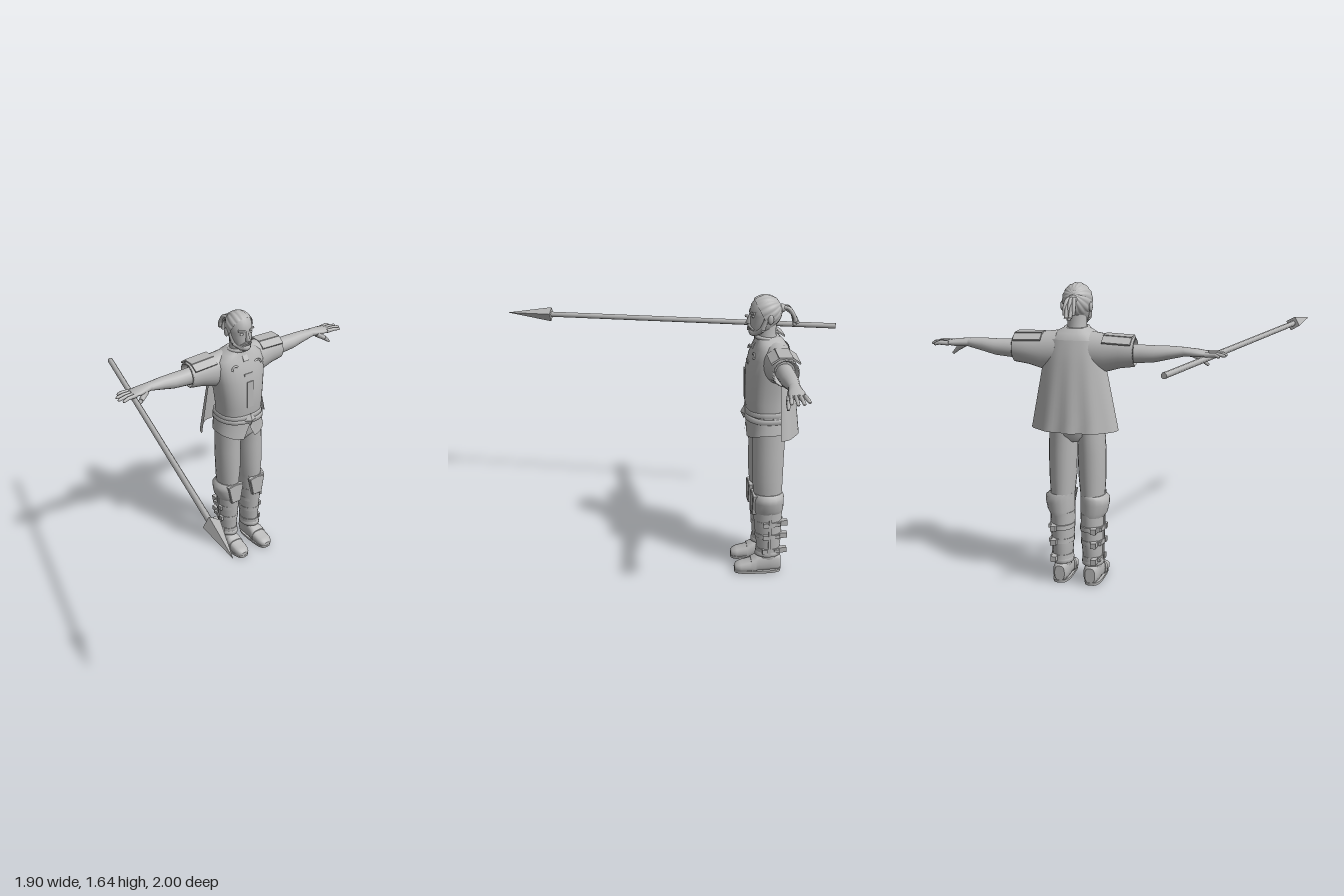
import * as THREE from 'three';
import { mergeVertices, mergeGeometries } from 'three/addons/utils/BufferGeometryUtils.js';

const V = (x, y, z) => new THREE.Vector3(x, y, z);

// Skin over oval rings [t, a, b, ra, rb]; (t,a,b) is (y,z,x), (x,y,z) or (z,x,y). pow < 1 squares the ovals.
function loft(axis, rings, n = 20, pow = 1, caps = true) {
  const pos = [], idx = [];
  const put = (t, a, b) => pos.push(...(axis === 'y' ? [b, t, a] : axis === 'x' ? [t, a, b] : [a, b, t]));
  const sp = v => Math.sign(v) * Math.abs(v) ** pow;
  const ring = ([t, a, b, ra, rb]) => {
    for (let j = 0; j < n; j++) {
      const f = j / n * Math.PI * 2;
      put(t, a + ra * sp(Math.cos(f)), b + rb * sp(Math.sin(f)));
    }
  };
  rings.forEach(ring);
  for (let i = 0; i < rings.length - 1; i++) for (let j = 0; j < n; j++) {
    const a = i * n + j, b = i * n + (j + 1) % n;
    idx.push(a, b, b + n, a, b + n, a + n);
  }
  if (caps) [rings[0], rings[rings.length - 1]].forEach((r, k) => {
    const s = pos.length / 3;
    ring(r);
    put(r[0], r[1], r[2]);
    for (let j = 0; j < n; j++) {
      const a = s + j, b = s + (j + 1) % n;
      idx.push(s + n, k ? a : b, k ? b : a);
    }
  });
  const g = new THREE.BufferGeometry();
  g.setAttribute('position', new THREE.Float32BufferAttribute(pos, 3));
  g.setIndex(idx);
  g.computeVertexNormals();
  return g;
}

// Tapered round bar from p to q
function rod(p, q, r1, r2, n = 8) {
  const d = q.clone().sub(p);
  const g = new THREE.CylinderGeometry(r2, r1, d.length(), n);
  g.applyQuaternion(new THREE.Quaternion().setFromUnitVectors(V(0, 1, 0), d.normalize()));
  return g.translate(...p.clone().add(q).multiplyScalar(0.5).toArray());
}

const box = (w, h, d, x, y, z, rx = 0, ry = 0, rz = 0) =>
  new THREE.BoxGeometry(w, h, d).rotateX(rx).rotateY(ry).rotateZ(rz).translate(x, y, z);
const ball = (rx, ry, rz, x, y, z, n = 14) =>
  new THREE.SphereGeometry(1, n, 10).scale(rx, ry, rz).translate(x, y, z);

// Copy reflected in x, with its faces turned back outward
function mirrored(g) {
  const m = (g.index ? g.clone() : mergeVertices(g)).scale(-1, 1, 1);
  const i = m.index.array;
  for (let k = 0; k < i.length; k += 3) [i[k], i[k + 1]] = [i[k + 1], i[k]];
  m.computeVertexNormals();
  return m;
}

export function createModel() {
  const grey = new THREE.MeshStandardMaterial({ color: 0xb8b8b8, side: THREE.DoubleSide });
  grey.name = 'plain grey';
  const model = new THREE.Group(), body = new THREE.Group();
  model.name = 'spearman';
  body.name = 'figure';
  body.position.set(0.145, 0, -0.52);
  model.add(body);
  const add = (name, g, parent = body) => {
    const m = new THREE.Mesh(g, grey);
    m.name = name;
    parent.add(m);
  };
  const pair = (name, g) => { add('left ' + name, g); add('right ' + name, mirrored(g)); };

  // Tunic
  add('tunic', loft('y', [
    [0.96, 0.02, 0, 0.118, 0.138], [1.05, 0.03, 0, 0.122, 0.142], [1.13, 0.028, 0, 0.125, 0.15],
    [1.22, 0.024, 0, 0.125, 0.162], [1.3, 0.018, 0, 0.113, 0.17], [1.355, 0.015, 0, 0.095, 0.155],
    [1.385, 0.02, 0, 0.078, 0.11], [1.41, 0.03, 0, 0.062, 0.062]], 32, 0.85));
  const skirt = loft('y', [[0.875, 0.02, 0, 0.122, 0.16], [0.92, 0.015, 0, 0.122, 0.152],
    [0.98, 0.02, 0, 0.12, 0.14]], 32, 0.85, false);
  const sp = skirt.attributes.position;
  for (let i = 0; i < 32; i++) // hem dips at the front, with a notch in the middle
    sp.setY(i, i === 0 ? 0.92 : 0.875 - 0.04 * Math.max(0, Math.cos(i / 16 * Math.PI)) ** 2);
  skirt.computeVertexNormals();
  add('tunic skirt', skirt);
  const ring = (y, r) => loft('y', [[y - 0.016, 0.02, 0, 0.12, 0.14], [y - 0.012, 0.02, 0, r - 0.018, r],
    [y + 0.012, 0.02, 0, r - 0.018, r], [y + 0.016, 0.02, 0, 0.12, 0.14]], 32, 0.85);
  add('belt', ring(0.985, 0.148));
  add('hanging belt', ring(0, 0.152).rotateZ(-0.06).translate(0, 0.957, 0));
  add('belt buckle', new THREE.OctahedronGeometry(1).scale(0.042, 0.042, 0.02).translate(0, 0.968, 0.152));
  add('collar', new THREE.TorusGeometry(0.06, 0.012, 8, 24).rotateX(Math.PI / 2 - 0.1).translate(0, 1.402, 0.035));
  add('tunic placket', box(0.035, 0.04, 0.012, 0, 1.36, 0.105, -0.6));
  add('tunic clasp', box(0.06, 0.016, 0.012, 0, 1.265, 0.137, -0.15));
  add('tunic seam', box(0.045, 0.17, 0.006, 0, 1.14, 0.153, 0.02));
  pair('chest trim', new THREE.TorusGeometry(0.024, 0.006, 6, 10, 2.4).rotateX(-0.2).translate(0.08, 1.308, 0.122));

  // Cape: half shell spreading toward the hem
  const cape = new THREE.CylinderGeometry(1, 1, 1, 32, 8, true, Math.PI / 2, Math.PI);
  const cp = cape.attributes.position;
  for (let i = 0; i < cp.count; i++) {
    const t = 0.5 - cp.getY(i), x = cp.getX(i), z = cp.getZ(i);
    const fold = 1 + 0.05 * t * Math.cos(x * 12);
    cp.setXYZ(i, x * (0.145 + 0.092 * t), 1.355 - 0.48 * t, -0.02 + z * (0.066 + 0.067 * t ** 0.7) * fold);
  }
  cape.computeVertexNormals();
  add('cape', cape);

  // Sleeves, shoulder flaps, arms and hands
  pair('sleeve', loft('x', [[0.09, 1.29, 0, 0.105, 0.085], [0.17, 1.285, -0.008, 0.1, 0.08],
    [0.25, 1.293, -0.014, 0.084, 0.074], [0.322, 1.297, -0.017, 0.077, 0.073],
    [0.328, 1.297, -0.017, 0.068, 0.064], [0.29, 1.297, -0.017, 0.055, 0.054]], 24));
  pair('shoulder flap', mergeGeometries([
    box(0.15, 0.012, 0.075, 0.24, 1.378, -0.017, 0, 0, -0.04),
    box(0.15, 0.01, 0.05, 0.24, 1.362, 0.04, 0.6, 0, -0.04),
    box(0.15, 0.01, 0.05, 0.24, 1.362, -0.074, -0.6, 0, -0.04)]));
  pair('arm', loft('x', [[0.28, 1.288, -0.016, 0.053, 0.05], [0.36, 1.29, -0.017, 0.048, 0.048],
    [0.43, 1.293, -0.018, 0.044, 0.048], [0.5, 1.302, -0.016, 0.036, 0.04],
    [0.585, 1.31, -0.013, 0.024, 0.032]], 16));
  pair('palm', loft('x', [[0.575, 1.311, -0.013, 0.024, 0.031], [0.62, 1.308, -0.012, 0.022, 0.038],
    [0.66, 1.306, -0.01, 0.02, 0.045], [0.705, 1.304, -0.01, 0.013, 0.044]], 16));
  const fingers = [0.77, 0.795, 0.8, 0.785].map((end, i) => {
    const z = -0.044 + i * 0.023, s = (i - 1.5) * 0.004;
    return loft('x', [[0.69, 1.304, z, 0.013, 0.0115], [0.745, 1.306, z + s, 0.011, 0.0105],
      [end - 0.008, 1.3, z + s * 2, 0.009, 0.009], [end, 1.298, z + s * 2, 0.004, 0.004]], 8);
  });
  pair('fingers', mergeGeometries(fingers));
  pair('thumb', mergeGeometries([rod(V(0.62, 1.3, 0.01), V(0.665, 1.268, 0.03), 0.02, 0.014),
    rod(V(0.665, 1.268, 0.03), V(0.7, 1.236, 0.036), 0.014, 0.007)]));

  // Trousers
  add('hips', loft('y', [[0.8, 0.02, 0, 0.06, 0.05], [0.84, 0.02, 0, 0.095, 0.13], [0.97, 0.02, 0, 0.112, 0.132]], 24));
  pair('trouser leg', loft('y', [[0.38, 0.012, 0.084, 0.076, 0.058], [0.5, 0.016, 0.084, 0.082, 0.066],
    [0.6, 0.02, 0.082, 0.088, 0.074], [0.74, 0.02, 0.08, 0.09, 0.077], [0.88, 0.02, 0.076, 0.095, 0.074]], 20));

  // Knee guards
  pair('knee guard', loft('y', [[0.385, 0.012, 0.087, 0.084, 0.066], [0.41, 0.012, 0.093, 0.088, 0.074],
    [0.455, 0.014, 0.097, 0.09, 0.08], [0.485, 0.014, 0.098, 0.09, 0.08], [0.505, 0.016, 0.086, 0.083, 0.069]], 16));
  const plate = new THREE.Shape([[-0.052, 0.06], [-0.03, -0.055], [0.03, -0.055], [0.052, 0.06], [0, 0.068]]
    .map(p => new THREE.Vector2(...p)));
  pair('knee plate', new THREE.ExtrudeGeometry(plate, { depth: 0.02, bevelSize: 0.004, bevelThickness: 0.004, bevelSegments: 1 })
    .translate(0.082, 0.435, 0.085));

  // Boots
  pair('boot shaft', loft('y', [[0.08, 0.005, 0.086, 0.06, 0.044], [0.15, 0.004, 0.085, 0.068, 0.054],
    [0.22, 0.004, 0.084, 0.074, 0.059], [0.31, 0.01, 0.084, 0.08, 0.063], [0.4, 0.012, 0.084, 0.084, 0.066]], 20));
  pair('boot cuff', loft('y', [[0.105, 0.006, 0.086, 0.064, 0.05], [0.11, 0.007, 0.086, 0.074, 0.06],
    [0.13, 0.006, 0.086, 0.074, 0.06], [0.138, 0.005, 0.086, 0.066, 0.052]], 20));
  const straps = [], buckles = [];
  [[0.145, 0.072, 0.058], [0.24, 0.079, 0.064], [0.32, 0.085, 0.068]].forEach(([y, rz, rx]) => {
    straps.push(loft('y', [[y - 0.013, 0.004, 0.085, rz, rx], [y + 0.013, 0.005, 0.085, rz, rx]], 20));
    buckles.push(box(0.03, 0.03, 0.05, 0.112, y, -0.074), box(0.014, 0.028, 0.03, 0.085 + rx, y, 0.03),
      box(0.014, 0.02, 0.03, 0.085 + rx * 0.85, y, -0.04));
  });
  pair('boot straps', mergeGeometries(straps));
  pair('boot buckles', mergeGeometries(buckles));
  pair('side lace', box(0.012, 0.28, 0.014, 0.145, 0.26, 0.005, 0, 0, -0.03));
  pair('shoe', loft('z', [[-0.07, 0.086, 0.055, 0.028, 0.042], [-0.055, 0.086, 0.06, 0.04, 0.055],
    [0, 0.087, 0.064, 0.045, 0.06], [0.06, 0.088, 0.056, 0.046, 0.052], [0.11, 0.09, 0.04, 0.049, 0.036],
    [0.165, 0.091, 0.033, 0.047, 0.029], [0.19, 0.091, 0.029, 0.036, 0.022], [0.2, 0.091, 0.026, 0.02, 0.012]], 16, 0.75));
  pair('sole', loft('y', [[0, 0.064, 0.089, 0.136, 0.048], [0.016, 0.064, 0.089, 0.138, 0.05]], 24, 0.65));
  pair('shoe strap', loft('z', [[0.075, 0.089, 0.05, 0.05, 0.052], [0.105, 0.09, 0.042, 0.052, 0.043]], 16, 0.75));

  // Head and face
  add('neck', loft('y', [[1.36, 0.03, 0, 0.06, 0.062], [1.42, 0.04, 0, 0.054, 0.052], [1.49, 0.04, 0, 0.054, 0.052]], 20));
  add('head', loft('y', [[1.418, 0.104, 0, 0.022, 0.022], [1.43, 0.088, 0, 0.044, 0.042], [1.46, 0.065, 0, 0.068, 0.058],
    [1.5, 0.053, 0, 0.08, 0.068], [1.53, 0.05, 0, 0.08, 0.07], [1.545, 0.05, 0, 0.085, 0.071],
    [1.585, 0.048, 0, 0.079, 0.068], [1.615, 0.045, 0, 0.06, 0.05], [1.63, 0.045, 0, 0.03, 0.025]], 24));
  add('nose', loft('y', [[1.476, 0.13, 0, 0.006, 0.01], [1.484, 0.132, 0, 0.026, 0.016],
    [1.51, 0.128, 0, 0.017, 0.01], [1.543, 0.125, 0, 0.008, 0.008]], 10));
  pair('eye', ball(0.014, 0.007, 0.008, 0.03, 1.525, 0.119));
  pair('brow', box(0.042, 0.011, 0.016, 0.033, 1.545, 0.122, 0, 0.35, 0.12));
  pair('ear', ball(0.01, 0.027, 0.017, 0.077, 1.518, 0.03));
  pair('moustache', rod(V(0, 1.474, 0.138), V(0.038, 1.452, 0.115), 0.01, 0.006));
  add('lower lip', ball(0.016, 0.005, 0.008, 0, 1.456, 0.132));
  add('chin beard', ball(0.034, 0.026, 0.03, 0, 1.434, 0.108));
  pair('jaw beard', mergeGeometries([rod(V(0.02, 1.43, 0.108), V(0.055, 1.46, 0.07), 0.018, 0.016),
    rod(V(0.055, 1.46, 0.07), V(0.067, 1.53, 0.05), 0.016, 0.012)]));

  // Swept-back ridged hair, its strands meeting at the knot
  const hair = new THREE.SphereGeometry(1, 96, 16, 0, Math.PI * 2, 0, 1.83);
  const hp = hair.attributes.position;
  for (let i = 0; i < hp.count; i++) {
    const x = hp.getX(i), z = hp.getZ(i);
    const k = 1 + 0.05 * (Math.abs(Math.sin(Math.atan2(z, x) * 8)) - 0.5) * Math.hypot(x, z);
    hp.setXYZ(i, x * k, hp.getY(i) * k, z * k);
  }
  hair.rotateX(-1.1).scale(0.079, 0.092, 0.093).translate(0, 1.545, 0.05);
  hair.computeVertexNormals();
  add('hair', hair);
  add('hair knot', ball(0.024, 0.024, 0.022, 0, 1.562, -0.043));
  const locks = [-2, -1, 0, 1, 2].map(i => new THREE.TubeGeometry(new THREE.CatmullRomCurve3([
    V(i * 0.004, 1.565, -0.04), V(i * 0.009, 1.565 - (i & 1) * 0.012, -0.075),
    V(i * 0.012, 1.525, -0.105), V(i * 0.011, 1.465 + Math.abs(i) * 0.012, -0.115 - (i & 1) * 0.015)]), 10, 0.011, 7));
  add('ponytail', mergeGeometries(locks));

  // Spear
  const tail = V(-0.425, 1.283, -1), tip = V(-0.952, 1.265, 1), at = t => tail.clone().lerp(tip, t);
  const spear = new THREE.Group();
  spear.name = 'spear';
  model.add(spear);
  add('spear shaft', rod(tail, at(0.87), 0.016, 0.016, 8), spear);
  const head = rod(at(0.862), tip, 0.044, 0.0005, 4).toNonIndexed();
  head.computeVertexNormals();
  add('spear head', head, spear);
  return model;
}
